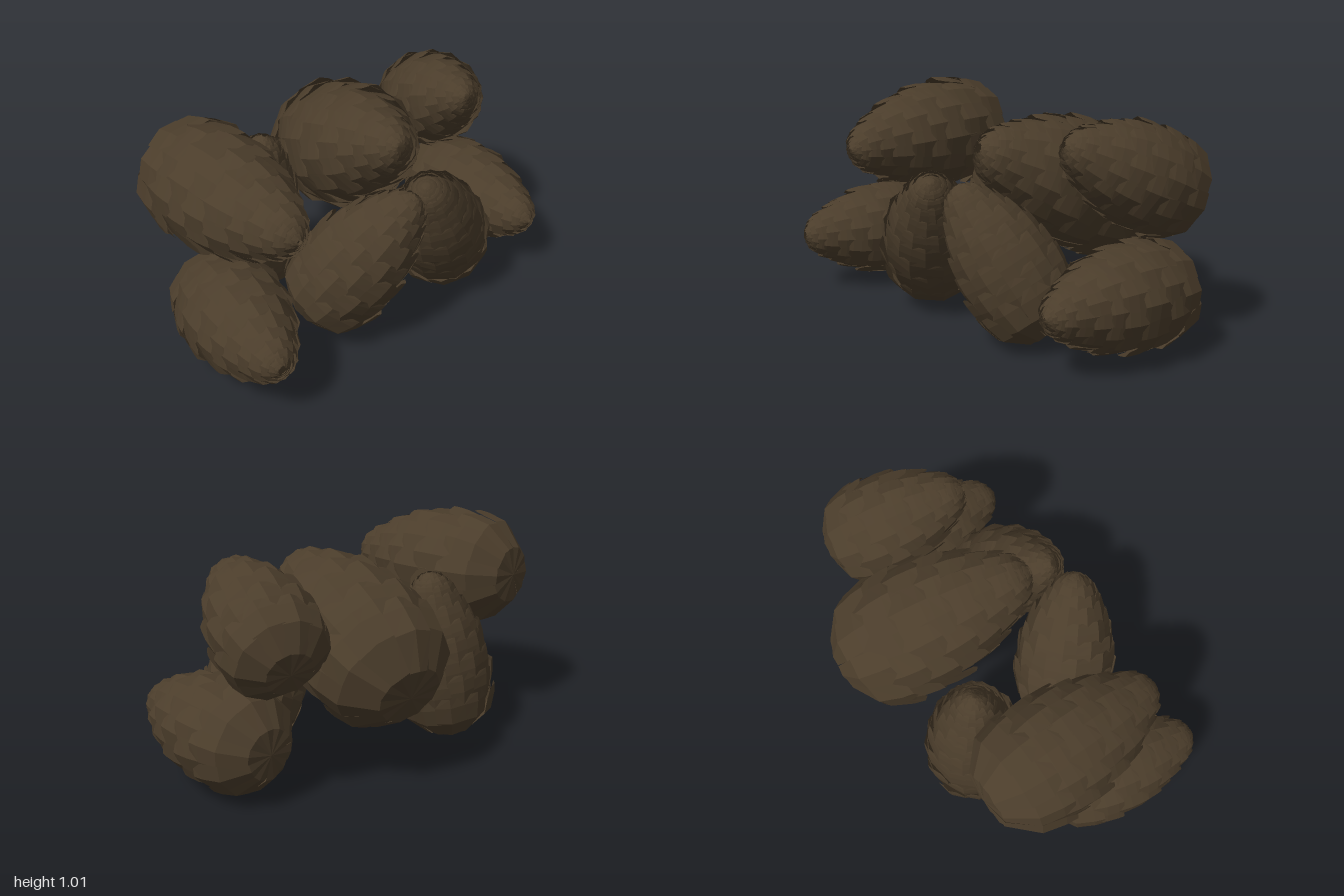
import * as THREE from 'three';
import { mergeGeometries } from 'three/addons/utils/BufferGeometryUtils.js';

const bark = new THREE.MeshStandardMaterial({ color: 0x4b3d2b, flatShading: true, side: THREE.DoubleSide });
bark.name = 'bark brown';

const SCALES = 10; // scales in each ring
// body profile from base to tip: [radius, height], both as fractions
const PROFILE = [[0, 0], [0.38, 0.015], [0.73, 0.055], [0.93, 0.18], [1, 0.34], [0.96, 0.5],
  [0.82, 0.67], [0.59, 0.82], [0.32, 0.95], [0, 1]];
// outline of one scale: [position along it, half width]
const OUTLINE = [[0, 1], [0.3, 1.03], [0.65, 1.1], [0.88, 1.02], [1, 0.5]];

function seeded(seed) {
  return () => (seed = (seed * 16807) % 2147483647) / 2147483647;
}

// one ridged scale, sunk into the body at its root and lifted off at its end
function scaleGeometry(curve, angle, start, end, sink, lift) {
  const pos = [], index = [];
  for (const [v, width] of OUTLINE) {
    const u = start + (end - start) * v;
    const p = curve.getPointAt(u), t = curve.getTangentAt(u);
    for (const k of [-1, 0, 1]) {
      const a = angle + k * width * Math.PI / SCALES;
      const out = -sink + (sink + lift) * v * (1.5 - 0.5 * v) - 0.045 * p.x * k * k;
      const r = Math.max(0, p.x + t.y * out);
      pos.push(r * Math.cos(a), p.y - t.x * out, r * Math.sin(a));
    }
  }
  for (let i = 0; i < OUTLINE.length - 1; i++) {
    for (let c = 0; c < 2; c++) {
      const a = i * 3 + c, b = a + 3;
      index.push(a, b, a + 1, a + 1, b, b + 1);
    }
  }
  const g = new THREE.BufferGeometry();
  g.setAttribute('position', new THREE.Float32BufferAttribute(pos, 3));
  g.setIndex(index);
  return g;
}

// a closed cone standing on its base: inner body plus staggered rings of scales
function makeCone(name, base, tip, radius, seed) {
  const from = new THREE.Vector3(...base), to = new THREE.Vector3(...tip);
  const length = from.distanceTo(to), rand = seeded(seed);
  const curve = new THREE.CatmullRomCurve3(
    PROFILE.map(([r, h]) => new THREE.Vector3(r * radius * 0.94, h * length, 0)));
  const total = curve.getLength();

  const scales = [];
  let end = 0.38, ring = 0;
  while (end < 0.995) {
    const r = curve.getPointAt(end).x;
    const step = Math.max(0.44 * r / total, 0.013);
    const start = ring === 0 ? 0 : end - Math.min(2.4 * step, 0.3);
    const sink = ring === 0 ? 0 : 0.05 * r;
    for (let i = 0; i < SCALES; i++) {
      const angle = (i + ring * 0.5 + (rand() - 0.5) * 0.12) * Math.PI * 2 / SCALES;
      const reach = Math.min(1, end + (rand() - 0.5) * step * 0.4);
      const lift = 0.035 * radius + (0.04 + 0.04 * rand()) * r;
      scales.push(scaleGeometry(curve, angle, start, reach, sink, lift));
    }
    end += step;
    ring++;
  }

  const group = new THREE.Group();
  group.name = name;
  const scaleMesh = new THREE.Mesh(mergeGeometries(scales), bark);
  scaleMesh.name = 'scales';
  const points = curve.getPoints(24).map(p => new THREE.Vector2(Math.max(0, p.x * 0.91), p.y * 0.94 + 0.04 * length));
  const core = new THREE.Mesh(new THREE.LatheGeometry(points, 20), bark);
  core.name = 'core';
  group.add(core, scaleMesh);
  group.position.copy(from);
  group.quaternion.setFromUnitVectors(new THREE.Vector3(0, 1, 0), to.clone().sub(from).normalize());
  return group;
}

export function createModel() {
  const model = new THREE.Group();
  model.name = 'pineConePile';
  // name, base centre, tip, largest radius
  const cones = [
    ['upperRightCone', [-0.58, 0.735, -0.535], [-0.67, 0.72, 0.365], 0.272],
    ['lowerRightCone', [-0.65, 0.25, -0.25], [-0.90, 0.28, 0.48], 0.24],
    ['frontRightCone', [-0.375, 0.105, 0.12], [-0.05, 0.69, 0.47], 0.24],
    ['frontLeftCone', [0.455, 0.065, 0.275], [0.06, 0.68, 0.43], 0.238],
    ['largeBackCone', [0.385, 0.44, -0.56], [0.06, 0.82, 0.28], 0.312],
    ['upperLeftCone', [0.81, 0.615, -0.27], [0.53, 0.90, 0.29], 0.238],
    ['lowerLeftCone', [0.82, 0.25, -0.17], [0.68, 0.28, 0.60], 0.24],
    ['uprightBackCone', [-0.31, 0.005, -0.365], [-0.22, 0.79, -0.28], 0.235],
  ];
  cones.forEach(([name, base, tip, radius], i) => model.add(makeCone(name, base, tip, radius, 101 + i * 37)));
  return model;
}
